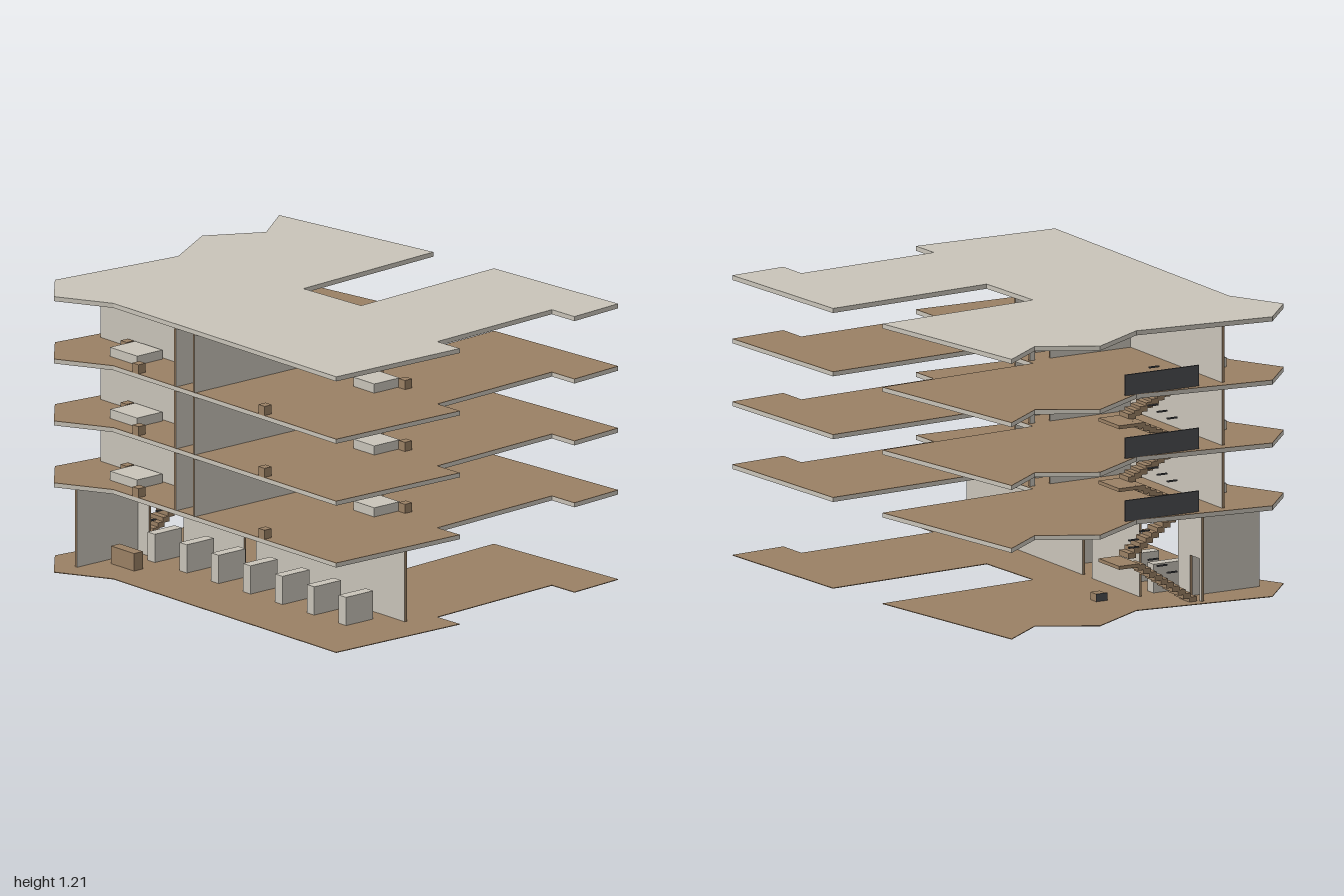
import * as THREE from 'three';

const mat = (name, color) => {
  const m = new THREE.MeshStandardMaterial({ color });
  m.name = name;
  return m;
};

// Shared floor plan as (x, z) corners
const PLAN = [
  [-1, -0.645], [-0.16, -0.78], [-0.105, -0.01], [0.245, -0.03], [0.19, -0.815], [0.93, -0.87],
  [0.955, -0.605], [0.815, -0.6], [0.86, 0.075], [1, 0.07], [0.98, 0.74], [-0.46, 0.74],
  [-0.7, 0.865], [-0.885, 0.7], [-0.815, 0.075], [-0.98, -0.2], [-0.845, -0.44],
];
const FLOORS = [0.395, 0.667, 0.939];
const ROOF = 1.213;
const SLAB = 0.02;
const T = 0.012; // wall thickness

export function createModel() {
  const concrete = mat('paleConcrete', 0xc9c4b9);
  const wood = mat('brownWood', 0x9a8064);
  const dark = mat('darkMetal', 0x4b4c50);
  const model = new THREE.Group();
  model.name = 'building';

  const planShape = new THREE.Shape(PLAN.map(([x, z]) => new THREE.Vector2(x, z)));

  // Horizontal plate following the plan, with its upper face at height top
  function plate(name, top, depth, material, parent = model) {
    const geo = new THREE.ExtrudeGeometry(planShape, { depth, bevelEnabled: false });
    geo.rotateX(Math.PI / 2);
    const mesh = new THREE.Mesh(geo, material);
    mesh.position.y = top;
    mesh.name = name;
    parent.add(mesh);
  }

  // Box given by its minimum and maximum on each axis
  function box(name, x0, x1, y0, y1, z0, z1, material, parent = model) {
    const mesh = new THREE.Mesh(new THREE.BoxGeometry(x1 - x0, y1 - y0, z1 - z0), material);
    mesh.position.set((x0 + x1) / 2, (y0 + y1) / 2, (z0 + z1) / 2);
    mesh.name = name;
    parent.add(mesh);
  }

  // Pale wall with brown edges; axis is the direction it runs along, door = [from, to, height]
  function wall(name, axis, at, from, to, y0, y1, door) {
    const group = new THREE.Group();
    group.name = name;
    const faces = axis === 'x'
      ? [wood, wood, wood, wood, concrete, concrete]
      : [concrete, concrete, wood, wood, wood, wood];
    const piece = (a, b, low, high) => (axis === 'x'
      ? box('wallPanel', a, b, low, high, at - T / 2, at + T / 2, faces, group)
      : box('wallPanel', at - T / 2, at + T / 2, low, high, a, b, faces, group));
    if (door) {
      piece(from, door[0], y0, y1);
      piece(door[1], to, y0, y1);
      piece(door[0], door[1], y0 + door[2], y1);
    } else piece(from, to, y0, y1);
    model.add(group);
  }

  // Two flights of steps with a half landing, and short handrail pieces
  function stairs(base, rise) {
    const group = new THREE.Group();
    group.name = 'staircase';
    const n = 10, run = 0.028, step = rise / (2 * n + 1);
    for (let i = 0; i < n; i++) {
      const y = base + i * step;
      const z = 0.38 - i * run;
      box('lowerStep', -0.8, -0.72, y, y + 0.024, z - run - 0.008, z, wood, group);
      const y2 = base + (n + 1 + i) * step;
      const z2 = 0.1 + i * run;
      box('upperStep', -0.71, -0.63, y2 - 0.006, y2 + 0.018, z2, z2 + run + 0.008, wood, group);
    }
    box('landing', -0.8, -0.63, base + n * step - 0.004, base + n * step + 0.011, 0, 0.1, wood, group);
    for (const [y, z] of [[0.12, 0.31], [0.155, 0.26], [0.187, 0.215], [0.25, 0.12], [0.282, 0.12], [0.315, 0.175], [0.352, 0.22]]) {
      box('handrailPiece', -0.72, -0.71, base + y - 0.003, base + y + 0.003, z - 0.024, z + 0.024, dark, group);
    }
    model.add(group);
  }

  // Ground and storeys
  plate('groundFloor', 0.003, 0.003, wood);
  FLOORS.forEach((y) => {
    plate('floorSlab', y - 0.002, SLAB - 0.002, concrete);
    plate('woodFlooring', y, 0.002, wood);
  });
  plate('roofSlab', ROOF, SLAB, concrete);

  // Ground floor walls
  const ceiling = FLOORS[0] - SLAB;
  wall('hallWall', 'x', 0.22, -0.605, 0.825, 0, ceiling, [-0.215, -0.135, 0.185]);
  wall('stairWall', 'x', 0.4, -0.815, -0.62, 0, ceiling, [-0.8, -0.72, 0.185]);
  wall('entryWall', 'z', -0.695, 0.4, 0.745, 0, ceiling);

  // Ground floor furniture
  for (let i = 0; i < 7; i++) {
    const x = -0.577 + i * 0.206;
    box('displayBlock', x, x + 0.048, 0.003, 0.127, 0.3, 0.45, concrete);
  }
  box('receptionDesk', -0.64, -0.49, 0.003, 0.08, 0.55, 0.6, wood);
  box('lowStool', -0.59, -0.545, 0.003, 0.036, 0.01, 0.055, wood);
  box('lowStoolPanel', -0.595, -0.59, 0.003, 0.036, 0.01, 0.065, dark);

  stairs(0, FLOORS[0]);
  stairs(FLOORS[0], FLOORS[1] - FLOORS[0]);
  stairs(FLOORS[1], FLOORS[2] - FLOORS[1]);

  // Upper floor walls and furniture
  FLOORS.forEach((y, i) => {
    const top = (FLOORS[i + 1] ?? ROOF) - SLAB;
    wall('roomBackWall', 'x', 0.5, -0.815, -0.06, y, top);
    wall('corridorWall', 'z', -0.055, 0, 0.745, y, top, [0.025, 0.1, 0.185]);
    wall('corridorWall', 'z', 0.065, 0, 0.745, y, top, [0.025, 0.1, 0.185]);
    box('stairRailing', -0.82, -0.812, y, y + 0.09, 0.02, 0.38, dark);

    const bedTop = y + 0.04;
    box('frontBed', -0.575, -0.4, y, bedTop, 0.52, 0.66, concrete);
    box('backBed', 0.43, 0.565, y, bedTop, 0.03, 0.172, concrete);
    for (const [x, z] of [[-0.603, 0.54], [-0.318, 0.72], [0.405, 0.02], [0.497, 0.72], [0.59, 0.02]]) {
      box('nightstand', x - 0.02, x + 0.02, y, bedTop, z - 0.02, z + 0.02, wood);
    }
  });

  return model;
}
